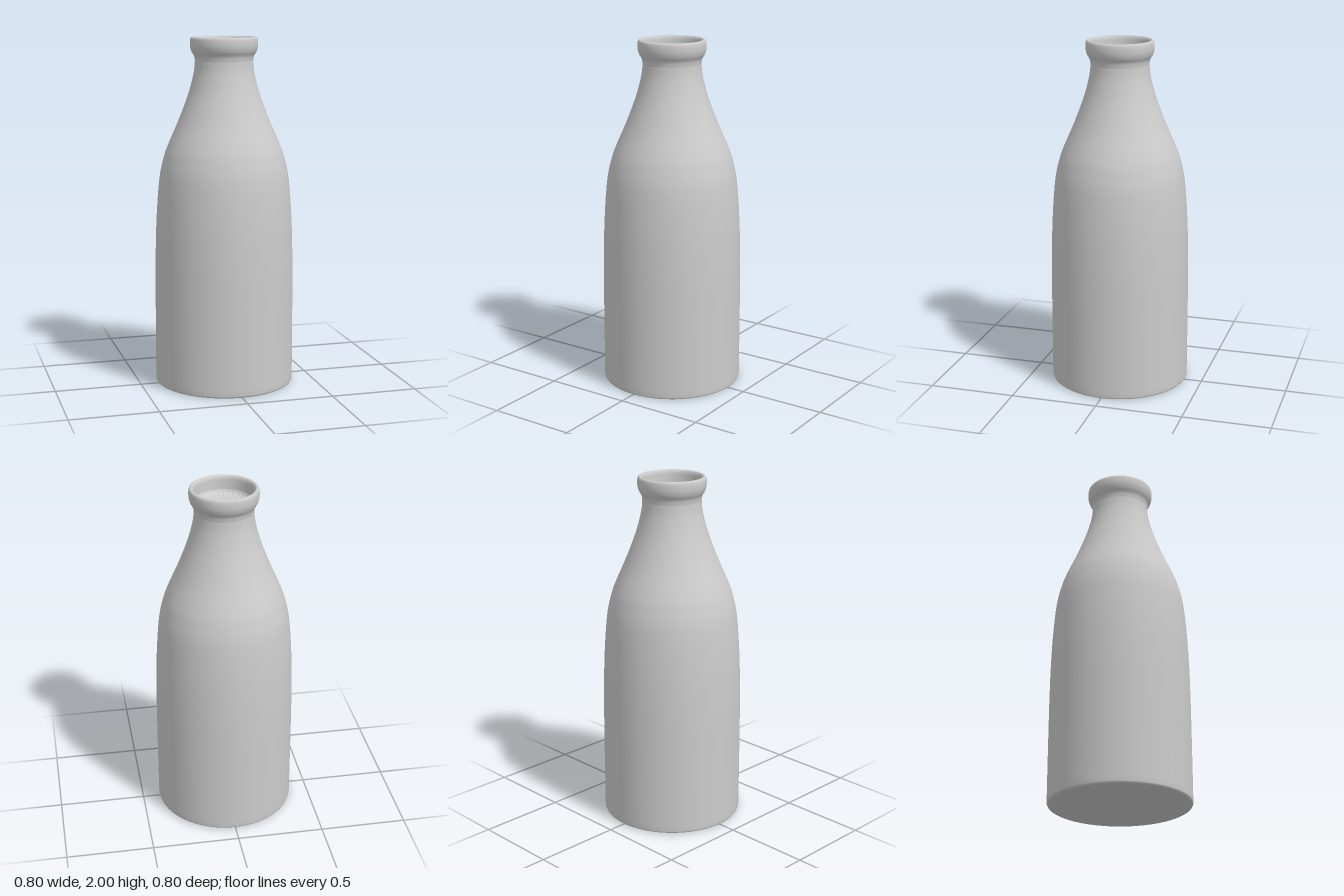
import * as THREE from 'three';

const SEGMENTS = 96;
const material = new THREE.MeshStandardMaterial({ color: 0xcccccc, side: THREE.DoubleSide });
const points = (list) => list.map(([r, y]) => new THREE.Vector2(r, y));

function lathe(name, profile) {
  const mesh = new THREE.Mesh(new THREE.LatheGeometry(profile, SEGMENTS), material);
  mesh.name = name;
  return mesh;
}

export function createModel() {
  const group = new THREE.Group();
  group.name = 'milkBottle';

  // Flat base disc
  const base = new THREE.Mesh(new THREE.CircleGeometry(0.39, SEGMENTS), material);
  base.name = 'base';
  base.rotation.x = Math.PI / 2;
  group.add(base);

  // Body, shoulder and neck in one smooth sweep
  const wall = new THREE.SplineCurve(points([
    [0.4, 0.012], [0.4, 0.3], [0.399, 0.6], [0.396, 0.8], [0.388, 1.0], [0.371, 1.2],
    [0.345, 1.32], [0.316, 1.4], [0.272, 1.5], [0.232, 1.6], [0.197, 1.7],
    [0.172, 1.8], [0.165, 1.865],
  ]));
  group.add(lathe('body', [new THREE.Vector2(0.39, 0), new THREE.Vector2(0.397, 0.004), ...wall.getPoints(72)]));

  // Rolled lip, running over the rim and down inside the mouth
  const lip = new THREE.SplineCurve(points([
    [0.165, 1.865], [0.17, 1.893], [0.184, 1.918], [0.192, 1.945], [0.193, 1.975], [0.189, 1.994],
    [0.18, 2.0], [0.171, 1.996], [0.165, 1.982], [0.163, 1.955], [0.161, 1.92],
  ]));
  group.add(lathe('lip', lip.getPoints(50)));

  // Recessed dished cap with a fluted edge
  const dish = new THREE.SplineCurve(points([
    [0.162, 1.925], [0.153, 1.908], [0.135, 1.898], [0.105, 1.891], [0.06, 1.887], [0, 1.886],
  ])).getPoints(24).reverse();
  const capGeometry = new THREE.LatheGeometry(dish, 192);
  const pos = capGeometry.attributes.position;
  for (let i = 0; i < pos.count; i++) {
    const x = pos.getX(i), z = pos.getZ(i), r = Math.hypot(x, z);
    const fade = THREE.MathUtils.smoothstep(r, 0.09, 0.14) * (1 - THREE.MathUtils.smoothstep(r, 0.148, 0.162));
    pos.setY(i, pos.getY(i) + 0.0015 * fade * Math.cos(32 * Math.atan2(z, x)));
  }
  capGeometry.computeVertexNormals();
  const cap = new THREE.Mesh(capGeometry, material);
  cap.name = 'cap';
  group.add(cap);

  return group;
}
